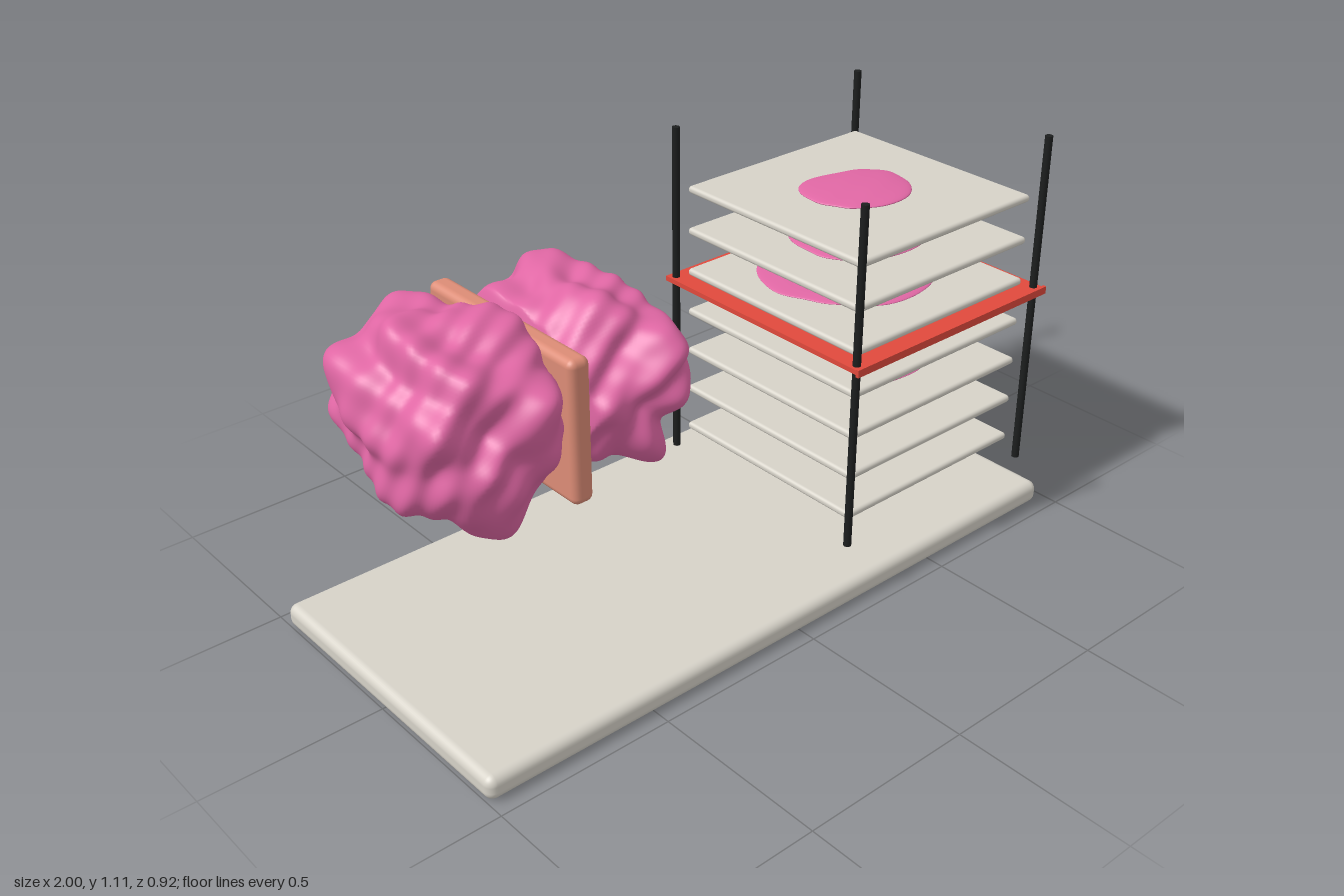
import * as THREE from 'three';
import { mergeVertices } from 'three/addons/utils/BufferGeometryUtils.js';
import { RoundedBoxGeometry } from 'three/addons/geometries/RoundedBoxGeometry.js';

const paint = (name, color) => {
  const m = new THREE.MeshStandardMaterial({ color });
  m.name = name;
  return m;
};

// Smooth bumpy field on the unit sphere
function bumps(p, f, s) {
  return Math.sin(f * p.x + s + 1.3 * Math.sin(f * 0.6 * p.y + s * 2.1)) *
           Math.cos(f * 0.9 * p.y - s * 1.7 + Math.sin(f * 0.5 * p.z)) +
         0.8 * Math.sin(f * 0.85 * p.z + s * 0.7 + 1.2 * Math.cos(f * 0.7 * p.x + s)) *
           Math.cos(f * 0.7 * p.y + s * 1.1) +
         0.35 * Math.sin(f * 1.7 * (p.x + p.z) + s) * Math.sin(f * 1.6 * (p.y - p.z) - s);
}

// Lumpy rounded body that exactly fills the box lo..hi; power squares off its side profile
function blob(lo, hi, { detail, freq, amp, power = 2, seed, stretch = [1, 1, 1], medial = 0 }) {
  let geo = new THREE.IcosahedronGeometry(1, detail);
  geo.deleteAttribute('normal');
  geo.deleteAttribute('uv');
  geo = mergeVertices(geo, 1e-5);
  const pos = geo.attributes.position;
  const p = new THREE.Vector3(), q = new THREE.Vector3();
  for (let i = 0; i < pos.count; i++) {
    p.fromBufferAttribute(pos, i).normalize();
    const side = (Math.abs(p.y) ** power + Math.abs(p.z) ** power) ** (1 / power);
    q.set(p.x * stretch[0], p.y * stretch[1], p.z * stretch[2]);
    p.multiplyScalar((1 + amp * bumps(q, freq, seed)) / Math.hypot(p.x, side));
    // flatten the side facing the midline and taper the underside
    if (medial) {
      if (p.x * medial > 0.6) p.x = medial * (0.6 + (p.x * medial - 0.6) * 0.3);
      p.z *= 1 + 0.1 * Math.min(0, p.y);
    }
    pos.setXYZ(i, p.x, p.y, p.z);
  }
  geo.computeBoundingBox();
  const b = geo.boundingBox;
  const fit = (v, a) => lo[a] + (hi[a] - lo[a]) * (v - b.min.getComponent(a)) / (b.max.getComponent(a) - b.min.getComponent(a));
  for (let i = 0; i < pos.count; i++) {
    pos.setXYZ(i, fit(pos.getX(i), 0), fit(pos.getY(i), 1), fit(pos.getZ(i), 2));
  }
  geo.computeVertexNormals();
  return geo;
}

export function createModel() {
  const tissue = paint('tissue pink', 0xe067a4);
  const violet = paint('cerebellum violet', 0x9c90da);
  const peach = paint('membrane peach', 0xdc8c76);
  const clay = paint('stem clay', 0xd07a6a);
  const stone = paint('stone grey', 0xd6d2c8);
  const red = paint('frame red', 0xe0493c);
  const black = paint('rod black', 0x1c1e1e);

  const model = new THREE.Group();
  const add = (name, geo, mat, x = 0, y = 0, z = 0) => {
    const m = new THREE.Mesh(geo, mat);
    m.name = name;
    m.position.set(x, y, z);
    model.add(m);
    return m;
  };

  // Base slab
  add('base', new RoundedBoxGeometry(1.964, 0.067, 0.915, 4, 0.025), stone, -0.018, 0.0365, 0);

  // Two hemispheres either side of the dividing membrane
  const lobe = { detail: 36, freq: 6.4, amp: 0.095, power: 2.6 };
  add('rightHemisphere', blob([-0.995, 0.475, -0.335], [-0.568, 1.018, 0.335],
    { ...lobe, seed: 1.4, medial: 1 }), tissue);
  add('leftHemisphere', blob([-0.56, 0.485, -0.335], [-0.145, 1.005, 0.345],
    { ...lobe, seed: 3.9, medial: -1 }), tissue);
  add('membrane', new RoundedBoxGeometry(0.06, 0.385, 0.575, 3, 0.02), peach, -0.568, 0.75, 0);

  // Cerebellum with fine ridges, and the leaning stem
  add('cerebellum', blob([-0.765, 0.375, -0.34], [-0.375, 0.545, -0.125],
    { detail: 26, freq: 9, amp: 0.075, power: 2.3, seed: 2.2, stretch: [1, 1.6, 1] }), violet);
  const stem = add('brainStem', new THREE.CylinderGeometry(0.04, 0.058, 0.21, 24), clay, -0.568, 0.408, -0.112);
  stem.rotation.x = 0.27;

  // Stack of plates, each carrying a thin tissue slice: [xMin, xMax, zMin, zMax]
  const slices = [
    [0.52, 0.70, -0.097, 0.09], [0.45, 0.765, -0.147, 0.16], [0.43, 0.81, -0.18, 0.215],
    [0.38, 0.864, -0.25, 0.215], [0.36, 0.86, -0.25, 0.22], [0.42, 0.815, -0.19, 0.19],
    [0.465, 0.775, -0.132, 0.138],
  ];
  const plate = new RoundedBoxGeometry(0.665, 0.022, 0.665, 3, 0.01);
  slices.forEach(([x0, x1, z0, z1], i) => {
    const y = 0.173 + i * 0.1256;
    add('plate' + (i + 1), plate, stone, 0.622, y, 0);
    add('slice' + (i + 1), blob([x0, y + 0.004, z0], [x1, y + 0.031, z1],
      { detail: 14, freq: 2.8, amp: 0.07, seed: i * 1.3 + 0.5, stretch: [1, 0.3, 1] }), tissue);
  });

  // Red scanning plane with a raised front edge
  add('scanPlane', new THREE.BoxGeometry(0.75, 0.014, 0.75), red, 0.622, 0.653, -0.002);
  add('scanPlaneLip', new THREE.BoxGeometry(0.755, 0.022, 0.01), red, 0.622, 0.653, 0.378);

  // Corner rods
  const rod = new THREE.CylinderGeometry(0.011, 0.011, 1.004, 16);
  for (const sx of [-1, 1]) {
    for (const sz of [-1, 1]) add('rod', rod, black, 0.622 + sx * 0.355, 0.607, sz * 0.355);
  }
  return model;
}
